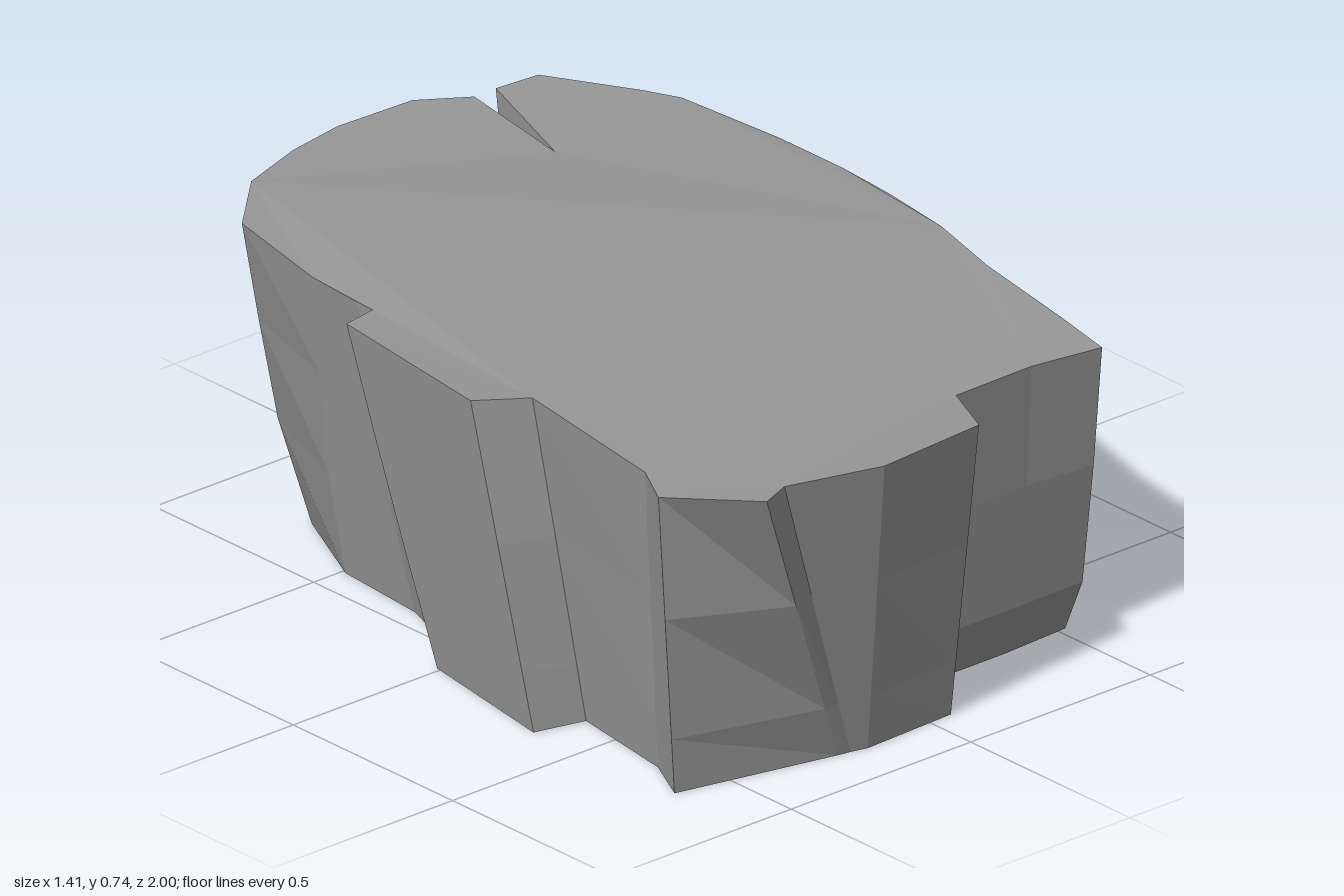
import * as THREE from 'three';

// Outline stations, each: top x, top z, base x, base z
const outline = [
  [0.01, -1.0, 0.03, -0.79], [0.21, -0.99, 0.21, -0.78], [0.32, -0.92, 0.32, -0.72],
  [0.28, -0.62, 0.34, -0.7], [0.38, -0.92, 0.37, -0.74], [0.49, -0.91, 0.5, -0.73],
  [0.61, -0.72, 0.6, -0.6], [0.65, -0.64, 0.68, -0.47], [0.67, -0.36, 0.69, -0.32],
  [0.66, -0.15, 0.705, -0.14], [0.64, 0.02, 0.68, 0.02], [0.61, 0.22, 0.64, 0.18],
  [0.56, 0.42, 0.62, 0.36], [0.52, 0.7, 0.56, 0.55], [0.49, 0.86, 0.52, 0.71],
  [0.32, 0.83, 0.34, 0.72], [0.11, 0.83, 0.13, 0.72], [0.05, 0.97, 0.06, 0.87],
  [-0.24, 1.0, -0.18, 0.88], [-0.47, 0.945, -0.22, 0.87], [-0.55, 0.98, -0.25, 0.865],
  [-0.71, 0.82, -0.63, 0.78], [-0.65, 0.71, -0.57, 0.66], [-0.6, 0.3, -0.53, 0.39],
  [-0.71, 0.23, -0.65, 0.36], [-0.63, -0.25, -0.59, -0.01], [-0.54, -0.27, -0.52, -0.02],
  [-0.535, -0.33, -0.44, -0.25], [-0.52, -0.48, -0.42, -0.49], [-0.46, -0.77, -0.31, -0.72],
  [-0.31, -0.91, -0.2, -0.76], [-0.14, -0.97, -0.08, -0.78],
];

// Gently uneven top surface, a little higher towards the right and left rims
const topHeight = (x, z) => 0.711 + 0.009 * Math.cos(4.5 * (z - 0.2)) + 0.01 * Math.abs(x) + 0.012 * Math.max(0, -x);

function stoneGeometry() {
  const top = outline.map(([x, z]) => new THREE.Vector3(x, topHeight(x, z), z));
  const base = outline.map(([, , x, z]) => new THREE.Vector3(x, 0, z));

  // Rings between base and top: the rear bulges, the recessed front panel has a chamfered foot
  const ring = (rearY, frontY, bulge) => base.map((b, i) => {
    const t = top[i], y = t.z < 0 ? rearY : frontY;
    const p = b.clone().lerp(t, y / t.y);
    if (t.z < 0 || t.x > 0.1) p.z *= 1 + bulge;
    return p;
  });
  const rings = [base, ring(0.24, 0.13, 0.045), ring(0.48, 0.42, 0.026), top];

  const points = [];
  const tri = (a, b, c) => [a, b, c].forEach((p) => points.push(p.x, p.y, p.z));

  // Side walls
  for (let r = 0; r < rings.length - 1; r++) {
    for (let i = 0; i < outline.length; i++) {
      const j = (i + 1) % outline.length, lo = rings[r], hi = rings[r + 1];
      tri(lo[i], hi[i], hi[j]);
      tri(lo[i], hi[j], lo[j]);
    }
  }

  // Top and underside caps
  for (const [loop, up] of [[top, true], [base, false]]) {
    const flat = loop.map((p) => new THREE.Vector2(p.x, p.z));
    for (const [a, b, c] of THREE.ShapeUtils.triangulateShape(flat, [])) {
      const area = flat[b].clone().sub(flat[a]).cross(flat[c].clone().sub(flat[a]));
      if ((area < 0) === up) tri(loop[a], loop[b], loop[c]);
      else tri(loop[a], loop[c], loop[b]);
    }
  }

  const geometry = new THREE.BufferGeometry();
  geometry.setAttribute('position', new THREE.Float32BufferAttribute(points, 3));
  geometry.computeVertexNormals();
  return geometry;
}

export function createModel() {
  const group = new THREE.Group();
  group.name = 'rock';
  const stone = new THREE.Mesh(
    stoneGeometry(),
    new THREE.MeshStandardMaterial({ color: 0x979797, flatShading: true }),
  );
  stone.name = 'stoneBody';
  group.add(stone);
  return group;
}
